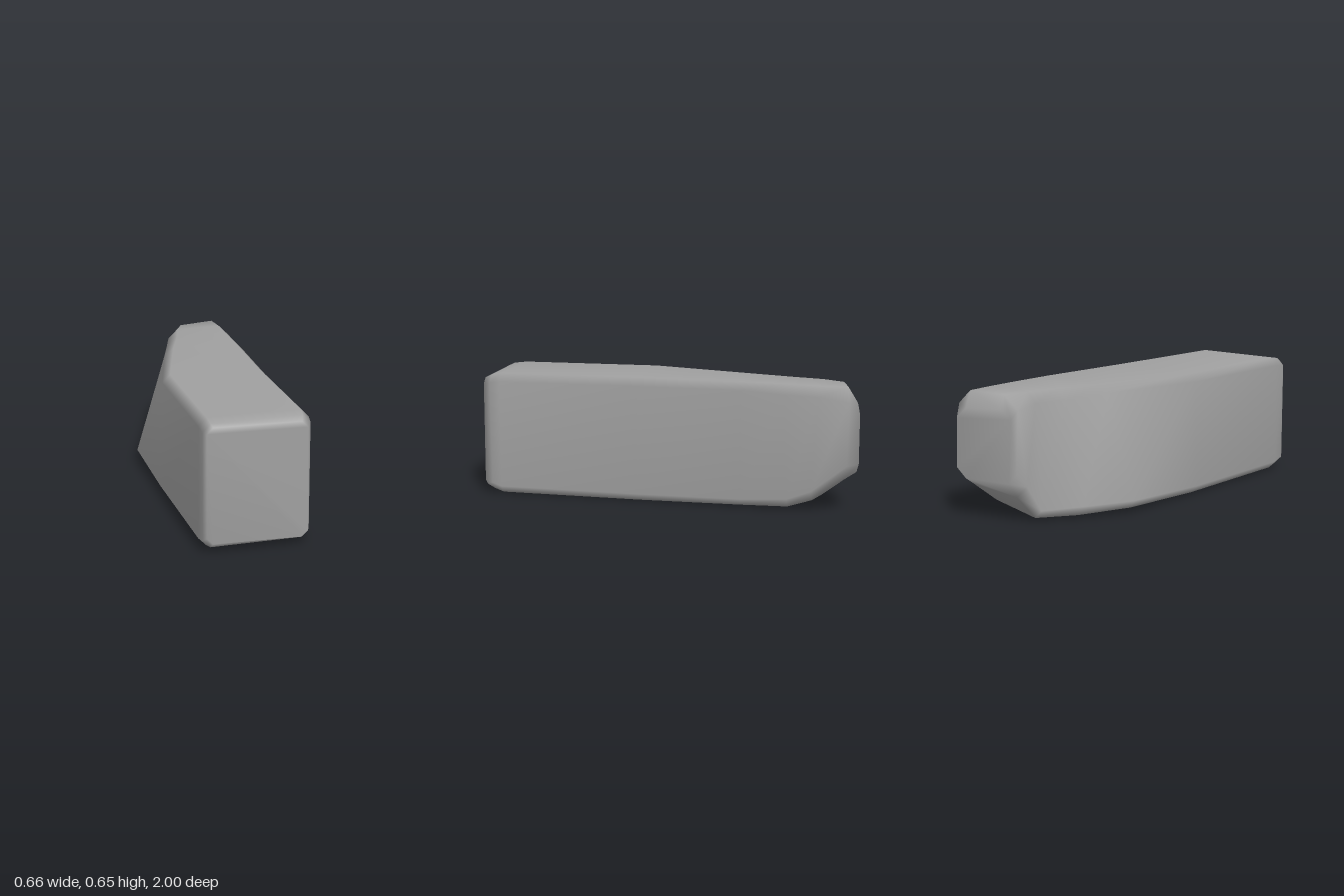
import * as THREE from 'three';

// Corners per section, front to back: top left, top right, bottom right, bottom left
const sections = [
  { bevel: 0.03, c: [[-0.3, 0.625, 0.995], [0.19, 0.62, 0.995], [0.2, 0.04, 0.995], [-0.3, 0.05, 0.995]] },
  { bevel: 0.04, c: [[-0.315, 0.637, 0.97], [0.215, 0.64, 0.955], [0.22, 0.02, 0.95], [-0.315, 0.025, 0.97]] },
  { bevel: 0.04, c: [[-0.315, 0.645, 0.9], [0.225, 0.65, 0.9], [0.225, 0.003, 0.9], [-0.318, 0.008, 0.9]] },
  { bevel: 0.04, c: [[-0.305, 0.645, 0.15], [0.245, 0.652, 0.15], [0.25, 0, 0.15], [-0.325, 0.005, 0.15]] },
  { bevel: 0.04, c: [[-0.155, 0.64, -0.38], [0.28, 0.652, -0.4], [0.28, 0.005, -0.4], [-0.34, 0.03, -0.38]] },
  { bevel: 0.05, c: [[-0.085, 0.64, -0.62], [0.3, 0.65, -0.62], [0.305, 0.012, -0.64], [-0.21, 0.015, -0.62]] },
  { bevel: 0.05, c: [[-0.04, 0.64, -0.79], [0.313, 0.645, -0.8], [0.313, 0.06, -0.76], [-0.085, 0.008, -0.8]] },
  { bevel: 0.07, c: [[-0.01, 0.635, -0.89], [0.325, 0.645, -0.95], [0.327, 0.18, -0.94], [-0.065, 0.12, -0.87]] },
  { bevel: 0.05, c: [[0.01, 0.57, -0.915], [0.29, 0.56, -1], [0.3, 0.21, -1], [-0.03, 0.2, -0.91]] },
];

// Cuts each corner of a section, giving eight points
function ring({ bevel, c }) {
  const corners = c.map((p) => new THREE.Vector3(...p));
  const toward = (a, b) => a.clone().add(b.clone().sub(a).setLength(bevel));
  return corners.flatMap((p, i) => [
    toward(p, corners[(i + 3) % 4]),
    toward(p, corners[(i + 1) % 4]),
  ]);
}

// Skins the rings and closes both ends
function loft(rings) {
  const n = rings[0].length;
  const points = rings.flat();
  const index = [];
  for (let r = 0; r < rings.length - 1; r++) {
    for (let i = 0; i < n; i++) {
      const a = r * n + i, b = r * n + ((i + 1) % n);
      index.push(a, b, a + n, b, b + n, a + n);
    }
  }
  const last = (rings.length - 1) * n;
  for (let i = 1; i < n - 1; i++) {
    index.push(0, i + 1, i);
    index.push(last, last + i, last + i + 1);
  }
  const geometry = new THREE.BufferGeometry().setFromPoints(points);
  geometry.setIndex(index);
  geometry.computeVertexNormals();
  return geometry;
}

export function createModel() {
  const group = new THREE.Group();
  group.name = 'stone';
  const stoneGrey = new THREE.MeshStandardMaterial({ color: 0xa0a0a0 });
  stoneGrey.name = 'stoneGrey';

  // Long block with worn edges and a tapered, undercut back end
  const block = new THREE.Mesh(loft(sections.map(ring)), stoneGrey);
  block.name = 'stoneBlock';
  group.add(block);
  return group;
}
